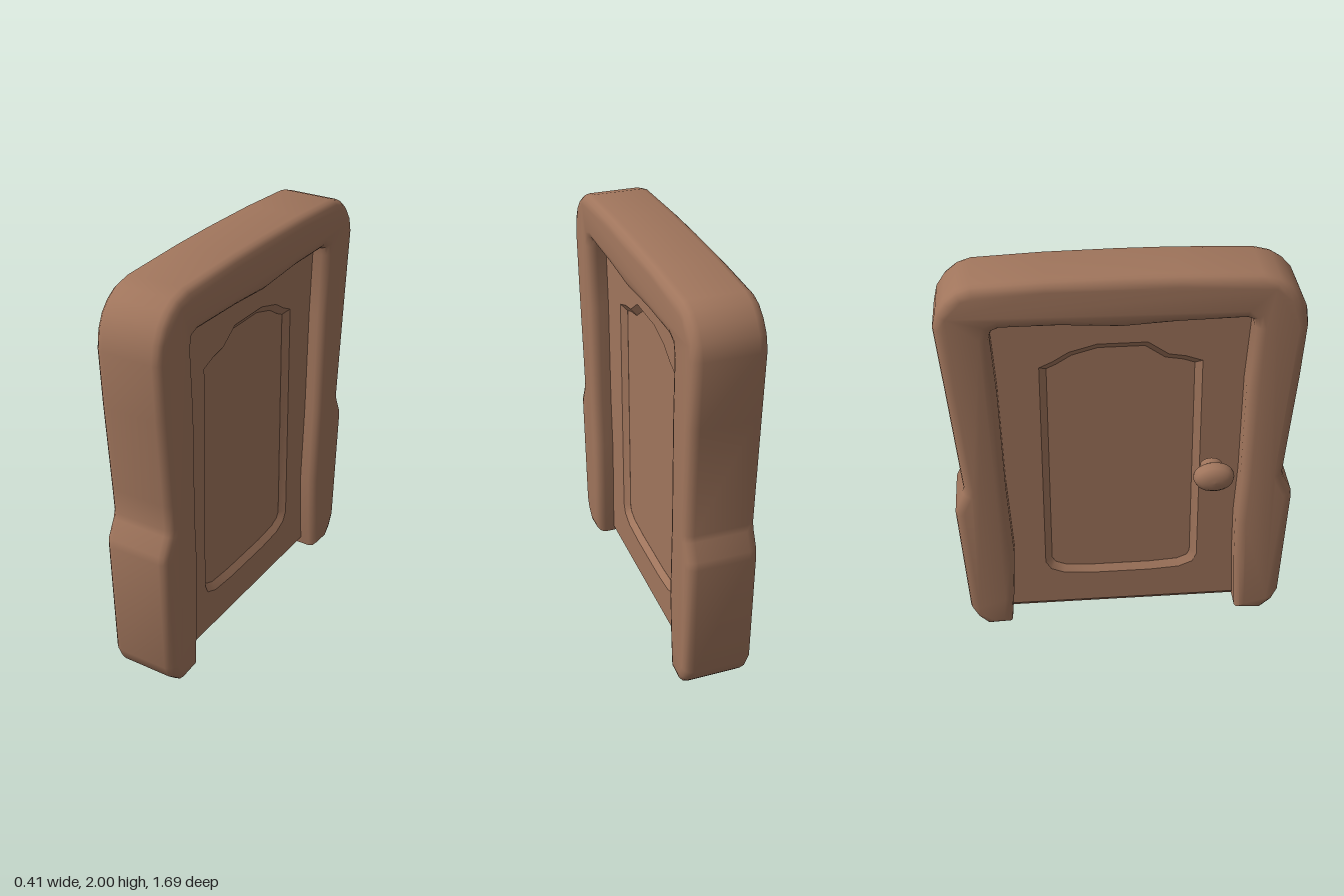
import * as THREE from 'three';
import { toCreasedNormals } from 'three/addons/utils/BufferGeometryUtils.js';

const wood = new THREE.MeshStandardMaterial({ color: 0xa0755c });
wood.name = 'brown wood';

// Outlines are [z, y] pairs; the extrusion runs along +x from x0 to x1.
const toPoints = (pairs) => pairs.map(([z, y]) => new THREE.Vector2(-z, y));

function slab(name, outline, hole, [x0, x1], bevelThickness, bevelSize, bevelSegments, crease) {
  const shape = new THREE.Shape(toPoints(outline));
  if (hole) shape.holes.push(new THREE.Path(toPoints(hole)));
  const geometry = new THREE.ExtrudeGeometry(shape, {
    depth: x1 - x0 - 2 * bevelThickness,
    bevelThickness, bevelSize, bevelOffset: -bevelSize, bevelSegments,
  });
  geometry.translate(0, 0, x0 + bevelThickness);
  geometry.rotateY(Math.PI / 2);
  const mesh = new THREE.Mesh(toCreasedNormals(geometry, crease), wood);
  mesh.name = name;
  return mesh;
}

export function createModel() {
  const model = new THREE.Group();
  model.name = 'door';

  // Chunky, slightly crooked frame: outside edge, then the opening
  const outer = [
    [0.73, 0.005], [0.79, 0.06], [0.82, 0.13], [0.844, 0.735], [0.839, 0.775],
    [0.796, 0.86], [0.788, 0.89], [0.797, 1.02], [0.83, 1.45], [0.845, 1.72],
    [0.832, 1.81], [0.8, 1.88], [0.755, 1.93], [0.7, 1.965], [0.62, 1.985],
    [0.25, 1.998], [0, 2], [-0.34, 1.996], [-0.665, 1.982], [-0.73, 1.96],
    [-0.785, 1.915], [-0.825, 1.855], [-0.843, 1.78], [-0.815, 1.45],
    [-0.77, 0.89], [-0.776, 0.86], [-0.815, 0.775], [-0.819, 0.735],
    [-0.785, 0.12], [-0.75, 0.05], [-0.7, 0.0],
  ];
  const opening = [
    [-0.575, 0.005], [-0.56, 0.175], [-0.545, 0.44], [-0.567, 0.865],
    [-0.578, 1.4], [-0.595, 1.715], [-0.585, 1.755], [-0.55, 1.77],
    [-0.285, 1.77], [0, 1.752], [0.245, 1.766], [0.56, 1.772], [0.59, 1.76],
    [0.6, 1.72], [0.583, 1.4], [0.583, 0.865], [0.572, 0.6], [0.578, 0.33],
    [0.595, 0.015],
  ];
  model.add(slab('frame', [...outer, ...opening], null, [-0.135, 0.205], 0.046, 0.046, 3, 0.7));

  // Door leaf with an arched, sloping recess on both faces
  const recess = [
    [0.36, 0.325], [0.347, 0.295], [0.295, 0.272], [0.15, 0.262], [-0.15, 0.262],
    [-0.285, 0.272], [-0.338, 0.295], [-0.355, 0.325], [-0.347, 1.475],
    [-0.3, 1.497], [-0.228, 1.542], [-0.105, 1.577], [0.115, 1.577],
    [0.21, 1.51], [0.295, 1.495], [0.35, 1.475],
  ];
  const leaf = [[0.66, 0.01], [0.66, 1.83], [-0.66, 1.83], [-0.64, 0.01]];
  model.add(slab('doorLeaf', leaf, recess, [-0.015, 0.112], 0.026, 0.034, 1, 0.5));

  // Thin panel that forms the floor of the recess
  const panel = new THREE.Mesh(new THREE.BoxGeometry(0.074, 1.38, 0.8), wood);
  panel.name = 'panel';
  panel.position.set(0.0485, 0.92, 0);
  model.add(panel);

  // Oval knob on a flared stem
  const profile = [
    [0.04, 0], [0.04, 0.012], [0.028, 0.024], [0.021, 0.04], [0.023, 0.055],
    [0.035, 0.064], [0.064, 0.07], [0.073, 0.084], [0.074, 0.103], [0.068, 0.128],
    [0.05, 0.146], [0.025, 0.154], [0, 0.156],
  ].map(([r, h]) => new THREE.Vector2(r, h + 0.035));
  const knobGeometry = new THREE.LatheGeometry(profile, 24);
  knobGeometry.rotateZ(Math.PI / 2);
  const knob = new THREE.Mesh(knobGeometry, wood);
  knob.name = 'knob';
  knob.position.set(-0.017, 0.92, 0.44);
  knob.scale.z = 1.35;
  model.add(knob);

  return model;
}
